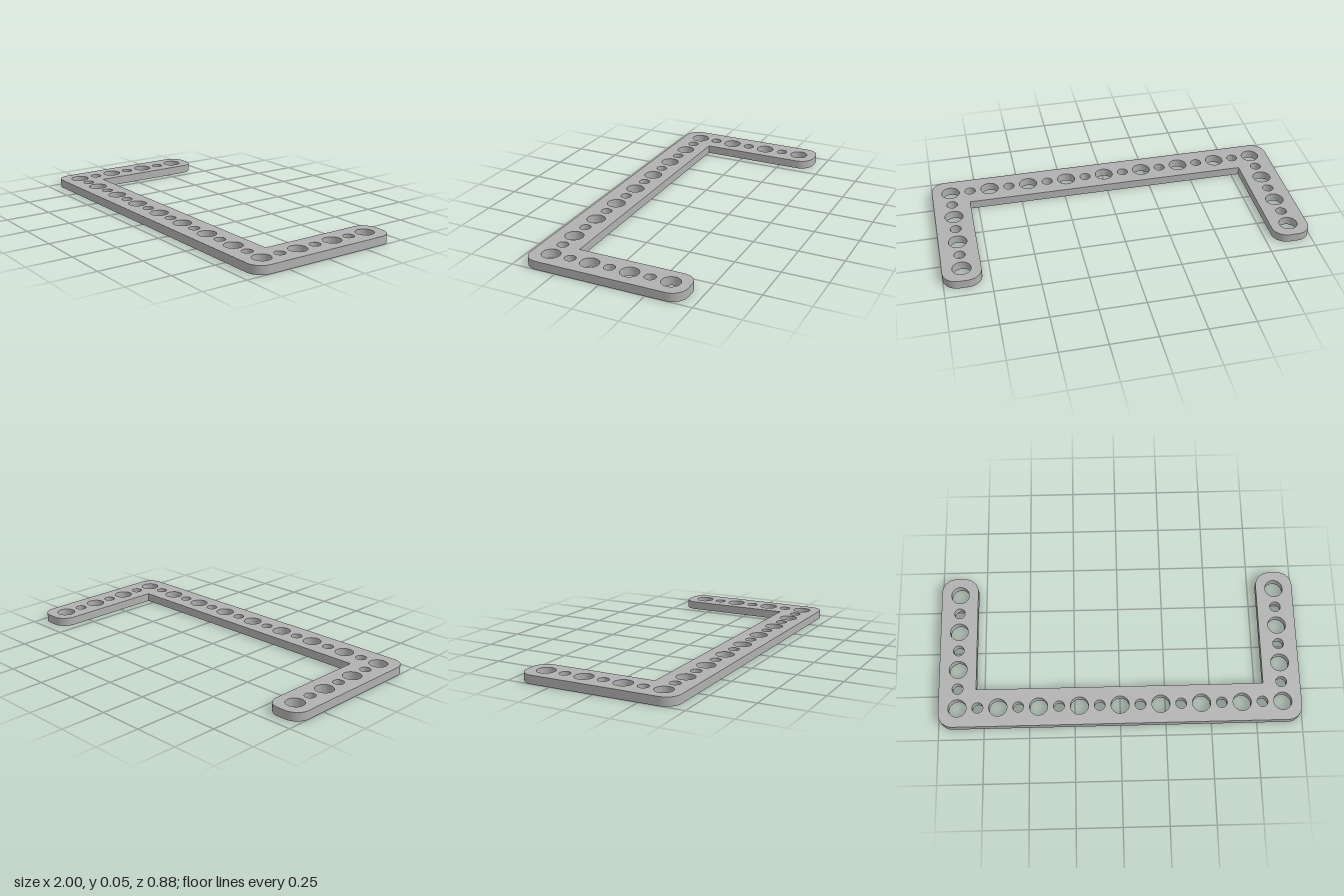
import * as THREE from 'three';
import { toCreasedNormals } from 'three/addons/utils/BufferGeometryUtils.js';

const THICKNESS = 0.047;
const HALF_X = 1, HALF_Z = 0.44;        // outer extents
const INNER_X = 0.794, INNER_Z = 0.228; // inside edges of the U
const CORNER = 0.08;
const PITCH = 0.224;                    // spacing between large holes
const ROW_X = 0.896, ROW_Z = 0.333;     // hole row centre lines
const LARGE = 0.05, SMALL = 0.03;

// U-shaped outline drawn in plan, with shape y = -z
function bracketOutline() {
  const s = new THREE.Shape();
  const corner = (x, y, from) =>
    s.absarc(x, y, CORNER, from, from + Math.PI / 2, false);
  const far = HALF_X - CORNER, near = INNER_X + CORNER, end = HALF_Z - CORNER;
  corner(-far, -end, Math.PI);
  corner(far, -end, -Math.PI / 2);
  corner(far, end, 0);
  corner(near, end, Math.PI / 2);
  s.lineTo(INNER_X, -INNER_Z);
  s.lineTo(-INNER_X, -INNER_Z);
  corner(-near, end, 0);
  corner(-far, end, Math.PI / 2);
  s.closePath();
  return s;
}

export function createModel() {
  const group = new THREE.Group();
  group.name = 'perforatedBracket';
  const grey = new THREE.MeshStandardMaterial({ color: 0xb0b0b0 });
  grey.name = 'grey';

  const shape = bracketOutline();
  const addHole = (x, z, r) => {
    const hole = new THREE.Path();
    hole.absarc(x, -z, r, 0, Math.PI * 2, true);
    shape.holes.push(hole);
  };

  // Alternating large and small holes along the crossbar
  for (let i = 0; i <= 16; i++) {
    addHole(-ROW_X + i * PITCH / 2, ROW_Z, i % 2 ? SMALL : LARGE);
  }
  // The same pattern continues up both arms
  for (const side of [-1, 1]) {
    for (let i = 1; i <= 6; i++) {
      addHole(side * ROW_X, ROW_Z - i * PITCH / 2, i % 2 ? SMALL : LARGE);
    }
  }

  // Flat plate lying on the ground plane, sharp rims and smooth bores
  const plate = new THREE.ExtrudeGeometry(shape, {
    depth: THICKNESS, bevelEnabled: false, curveSegments: 16,
  });
  plate.rotateX(-Math.PI / 2);
  const mesh = new THREE.Mesh(toCreasedNormals(plate, Math.PI / 5), grey);
  mesh.name = 'bracketPlate';
  group.add(mesh);
  return group;
}
